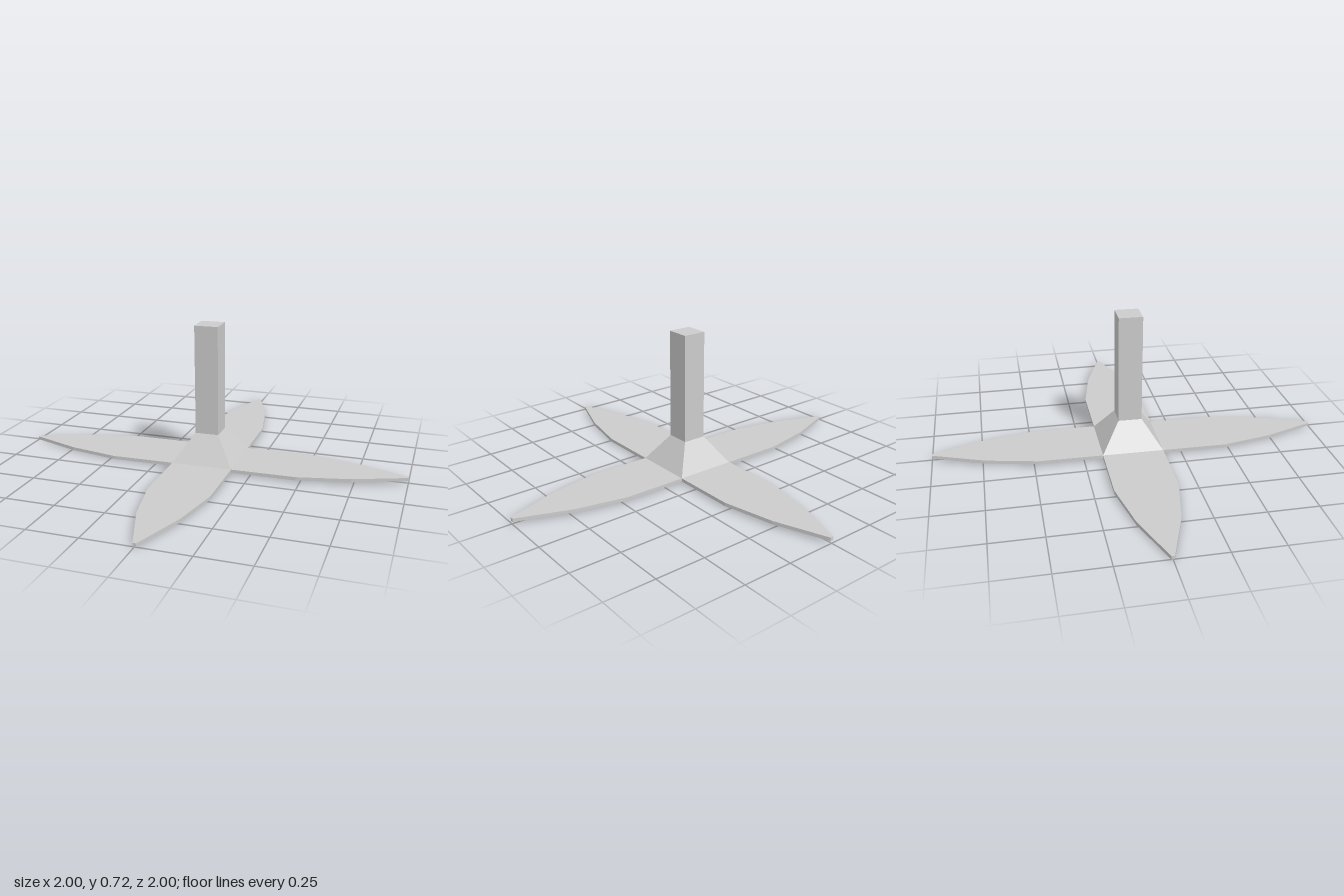
import * as THREE from 'three';

const THICK = 0.017;   // blade thickness
const HALF = 0.155;    // half width of blades and collar
const NECK = 0.06;     // half width of the post
const NECK_Y = 0.155;  // top of the collar
const TOP_Y = 0.71;    // top of the post
const TILT = 0.0065;   // slight lean of the whole model

export function createModel() {
  const model = new THREE.Group();
  const material = new THREE.MeshStandardMaterial({ color: 0xcccccc, flatShading: true });
  const add = (name, geometry) => {
    const mesh = new THREE.Mesh(geometry, material);
    mesh.name = name;
    model.add(mesh);
  };

  // Four pointed blades as one flat cross: one blade outline, turned four times
  const blade = [[HALF, -HALF], [0.48, -HALF], [0.74, -0.102], [1, -0.008],
    [1, 0.008], [0.74, 0.102], [0.48, HALF]];
  const outline = [];
  for (let i = 0; i < 4; i++) {
    for (const [x, y] of blade) {
      outline.push(new THREE.Vector2(x, y).rotateAround(new THREE.Vector2(), i * Math.PI / 2));
    }
  }
  const blades = new THREE.ExtrudeGeometry(new THREE.Shape(outline), { depth: THICK, bevelEnabled: false });
  add('blades', blades.rotateX(-Math.PI / 2));

  // Square tapered collar
  const collarHeight = NECK_Y - THICK;
  const collar = new THREE.CylinderGeometry(NECK * Math.SQRT2, HALF * Math.SQRT2, collarHeight, 4);
  add('collar', collar.rotateY(Math.PI / 4).translate(0, THICK + collarHeight / 2, 0));

  // Square post
  const postHeight = TOP_Y - NECK_Y;
  const post = new THREE.BoxGeometry(2 * NECK, postHeight, 2 * NECK);
  add('post', post.translate(0, NECK_Y + postHeight / 2, 0));

  // Lean: left and back tips sit slightly higher
  model.rotation.set(TILT, 0, TILT);
  model.position.y = TILT;
  return model;
}
